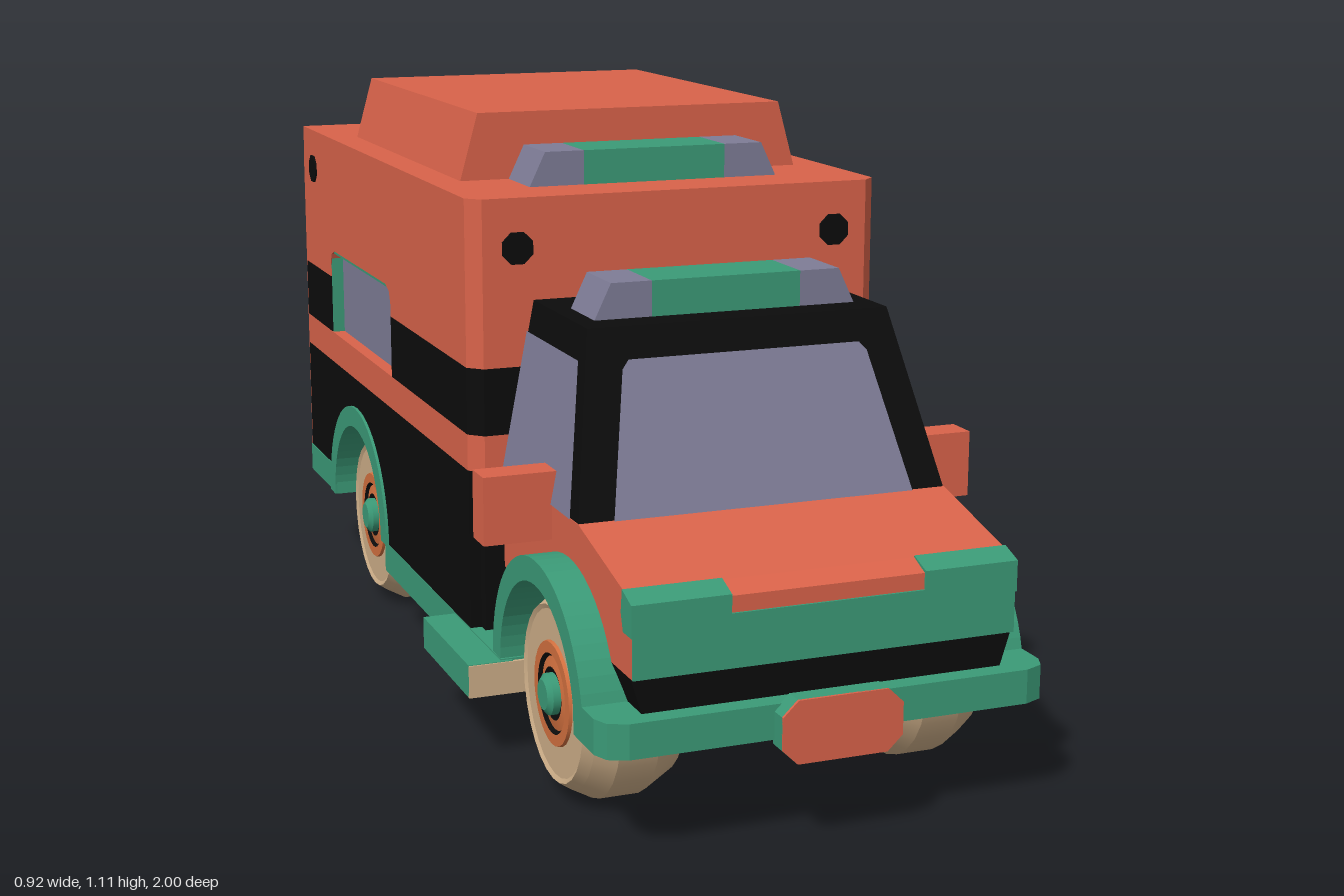
import * as THREE from 'three';

const mat = (name, color) => Object.assign(new THREE.MeshStandardMaterial({ color }), { name });

export function createModel() {
  const red = mat('coral red', 0xd9634a), green = mat('green', 0x3b9a77), black = mat('black', 0x0c0c0c);
  const glass = mat('grey glass', 0x7e7c96), tan = mat('tan', 0xcdae88), orange = mat('orange', 0xd2703f);
  const model = new THREE.Group();
  model.name = 'van';

  const add = (name, geo, material, parent = model) => {
    const m = new THREE.Mesh(geo, material);
    m.name = name;
    parent.add(m);
    return m;
  };
  // Box given by its limits
  const box = (name, material, x0, x1, y0, y1, z0, z1) => {
    const g = new THREE.BoxGeometry(Math.abs(x1 - x0), y1 - y0, z1 - z0);
    g.translate((x0 + x1) / 2, (y0 + y1) / 2, (z0 + z1) / 2);
    return add(name, g, material);
  };
  const poly = pts => new THREE.Shape(pts.map(p => new THREE.Vector2(p[0], p[1])));
  const extrude = (shape, depth) => new THREE.ExtrudeGeometry(shape, { depth, bevelEnabled: false, curveSegments: 14 });
  // Side profile (z, y) drawn across x0..x1
  const across = (name, material, shape, x0, x1) =>
    add(name, extrude(shape, x1 - x0).rotateY(-Math.PI / 2).translate(x1, 0, 0), material);
  // Plan outline (x, z) raised from y0 to y1
  const raise = (name, material, shape, y0, y1) =>
    add(name, extrude(shape, y1 - y0).rotateX(Math.PI / 2).translate(0, y1, 0), material);
  // Front outline (x, y) drawn along z0..z1
  const along = (name, material, pts, z0, z1) =>
    add(name, extrude(poly(pts), z1 - z0).translate(0, 0, z0), material);
  const mirrorPts = half => [...half, ...half.map(([x, z]) => [-x, z]).reverse()];
  const sides = fn => [1, -1].forEach(fn);

  const axleY = 0.19, frontZ = 0.64, rearZ = -0.54;

  // Rear body: colour bands with side window and rear door recesses
  const band = (name, material, y0, y1, windowGap, doorGap) => {
    const half = [[0.375, 0.29], [0.4, 0.265]];
    if (windowGap) half.push([0.4, -0.25], [0.37, -0.25], [0.37, -0.745], [0.4, -0.745]);
    half.push([0.4, -0.97]);
    if (doorGap) half.push([0.345, -0.97], [0.345, -0.92]);
    raise(name, material, poly(mirrorPts(half)), y0, y1);
  };
  band('lowerRedBand', red, 0.49, 0.557, false, true);
  band('blackBand', black, 0.557, 0.68, true, true);
  band('windowTopBand', red, 0.68, 0.74, true, true);
  band('upperBody', red, 0.74, 0.93, false, true);
  band('roof', red, 0.93, 0.985, false, false);

  const lower = new THREE.Shape();
  lower.moveTo(0.268, 0.49);
  lower.lineTo(0.268, 0.19);
  lower.lineTo(rearZ + 0.2, 0.19);
  lower.absarc(rearZ, axleY, 0.2, 0, Math.PI, false);
  lower.lineTo(-0.92, 0.19);
  lower.lineTo(-0.92, 0.49);
  across('lowerBody', black, lower, -0.4, 0.4);
  box('lowerBodyFront', black, -0.378, 0.378, 0.19, 0.49, 0.26, 0.29);

  // Side windows with green liners and rounded upper corners
  sides(s => {
    box('sideWindow', glass, s * 0.368, s * 0.374, 0.557, 0.74, -0.745, -0.25);
    box('windowLiner', green, s * 0.37, s * 0.398, 0.734, 0.74, -0.745, -0.25);
    box('windowLiner', green, s * 0.37, s * 0.398, 0.557, 0.74, -0.256, -0.25);
    box('windowLiner', green, s * 0.37, s * 0.398, 0.557, 0.74, -0.745, -0.739);
    [[-0.25, -1], [-0.745, 1]].forEach(([z, d]) => across('windowCorner', red,
      poly([[z, 0.74], [z + d * 0.035, 0.74], [z + d * 0.01, 0.73], [z, 0.705]]),
      s > 0 ? 0.372 : -0.4, s > 0 ? 0.4 : -0.372));
  });

  // Rear doors
  box('doorPanel', red, -0.345, 0.345, 0.25, 0.93, -0.925, -0.919);
  sides(s => {
    box('rearWindow', glass, s * 0.06, s * 0.285, 0.49, 0.87, -0.928, -0.92);
    box('doorLowerPanel', black, s * 0.06, s * 0.285, 0.31, 0.49, -0.928, -0.92);
    box('rearPost', black, s * 0.345, s * 0.4, 0.25, 0.49, -0.97, -0.92);
    box('doorFrame', green, s * 0.338, s * 0.345, 0.25, 0.93, -0.968, -0.92);
    box('rearPostFace', red, s * 0.345, s * 0.4, s > 0 ? 0.49 : 0.25, 0.93, -0.973, -0.97);
  });
  box('doorFrameTop', green, -0.345, 0.345, 0.923, 0.93, -0.968, -0.92);

  // Marker lamps
  sides(s => {
    const front = add('frontMarker', new THREE.CylinderGeometry(0.031, 0.031, 0.006, 8).rotateY(Math.PI / 8), black);
    front.rotation.x = Math.PI / 2;
    front.position.set(s * 0.31, 0.895, 0.291);
    const side = add('sideMarker', new THREE.CylinderGeometry(0.031, 0.031, 0.006, 8).rotateY(Math.PI / 8), black);
    side.rotation.z = Math.PI / 2;
    side.position.set(s * 0.401, 0.9, -0.88);
  });

  // Raised roof and light bars
  along('raisedRoof', red, mirrorPts([[0.34, 0.984], [0.305, 1.11]]), -0.72, 0.045);
  [[0.8, 0.39, 0.51], [0.985, 0.045, 0.168], [0.985, -0.848, -0.72]].forEach(([y, z0, z1]) => {
    box('lightBarCentre', green, -0.14, 0.14, y - 0.002, y + 0.063, z0, z1);
    sides(s => along('lightBarEnd', glass,
      [[s * 0.14, y - 0.002], [s * 0.246, y - 0.002], [s * 0.215, y + 0.063], [s * 0.14, y + 0.063]], z0, z1));
  });

  // Cab: a box tapered towards its top
  const cab = new THREE.BoxGeometry(2, 1, 1).toNonIndexed();
  const p = cab.attributes.position;
  for (let i = 0; i < p.count; i++) {
    const top = p.getY(i) > 0, front = p.getZ(i) > 0;
    p.setXYZ(i, p.getX(i) * (top ? 0.28 : 0.34), top ? 0.8 : 0.49, front ? (top ? 0.57 : 0.69) : 0.28);
  }
  cab.computeVertexNormals();
  add('cab', cab, black);

  // Cab glass, laid just above the sloping faces
  const pane = (name, pts) => {
    const g = new THREE.BufferGeometry();
    g.setAttribute('position', new THREE.Float32BufferAttribute(pts.flat(), 3));
    g.setIndex(pts.slice(2).flatMap((_, i) => [0, i + 1, i + 2]));
    g.computeVertexNormals();
    add(name, g, glass).material.side = THREE.DoubleSide;
  };
  const shieldZ = y => 0.694 - 0.12 * (y - 0.49) / 0.31;
  pane('windscreen', [[-0.277, 0.496], [0.277, 0.496], [0.228, 0.732], [0.215, 0.747], [-0.215, 0.747], [-0.228, 0.732]]
    .map(([x, y]) => [x, y, shieldZ(y)]));
  sides(s => pane('cabSideWindow', [[0.655, 0.497], [0.293, 0.497], [0.293, 0.745], [0.565, 0.745]]
    .map(([z, y]) => [s * (0.344 - 0.06 * (y - 0.49) / 0.31), y, z])));

  // Nose with wheel arch cut
  const nose = poly([[0.28, 0.31], [0.28, 0.495], [0.69, 0.497], [0.9, 0.446], [0.938, 0.43], [0.938, 0.31], [0.8, 0.31]]);
  nose.absarc(frontZ, axleY, 0.2, Math.asin(0.6), Math.PI - Math.asin(0.6), false);
  across('nose', red, nose, -0.34, 0.34);
  box('grille', green, -0.34, 0.34, 0.31, 0.402, 0.935, 0.942);
  sides(s => across('headlight', green,
    poly([[0.9, 0.449], [0.942, 0.434], [0.942, 0.38], [0.905, 0.38], [0.895, 0.41]]),
    s > 0 ? 0.172 : -0.343, s > 0 ? 0.343 : -0.172));
  along('noseLower', black, mirrorPts([[0.32, 0.245], [0.34, 0.31]]), 0.83, 0.932);
  box('cabSill', black, -0.34, 0.34, 0.19, 0.31, 0.28, 0.44);
  sides(s => box('mirror', red, s * 0.325, s * 0.462, 0.435, 0.555, 0.497, 0.557));

  // Chassis, steps and bumpers
  box('spine', green, -0.218, 0.218, 0.13, 0.192, -0.725, 0.825);
  box('sill', green, -0.401, 0.401, 0.13, 0.192, -0.33, 0.45);
  sides(s => {
    box('step', green, s * 0.38, s * 0.462, 0.13, 0.19, 0.17, 0.457);
    box('stepFront', tan, s * 0.218, s * 0.462, 0.13, 0.189, 0.453, 0.46);
  });
  raise('frontBumper', green, poly(mirrorPts([[0.4, 0.83], [0.4, 0.925], [0.388, 0.953], [0.355, 0.967]])), 0.19, 0.25);
  box('rearBumper', green, -0.402, 0.402, 0.19, 0.25, -0.972, -0.733);
  [[0.21, 0.96, 1, 0.995], [0.19, -1, -0.96, -1]].forEach(([y, z0, z1, faceZ]) => {
    const plate = mirrorPts([[0.08, y - 0.054], [0.107, y - 0.028], [0.107, y + 0.028], [0.08, y + 0.054]]);
    along('plateMount', green, plate, z0 + 0.003, z1 - 0.003);
    along('plateFace', red, plate, faceZ, faceZ + 0.005);
  });

  // Wheel arches, wells and wheels
  const tyreProfile = [[0, 0.19], [0.155, 0.19], [0.185, 0.245], [0.185, 0.315], [0.165, 0.352],
    [0.153, 0.37], [0.145, 0.366], [0.09, 0.366], [0, 0.36]];
  // Each lathe segment is separate, so that its edges stay sharp
  const ring = (name, material, pts, parent) => pts.slice(1).forEach((b, i) => add(name,
    new THREE.LatheGeometry([new THREE.Vector2(...pts[i]), new THREE.Vector2(...b)], 28), material, parent));
  [[frontZ, 0.4], [rearZ, 0.406]].forEach(([z, out]) => {
    const arch = new THREE.Shape();
    arch.moveTo(z + 0.195, axleY);
    arch.lineTo(z + 0.238, axleY);
    arch.absarc(z, axleY, 0.238, 0, Math.PI, false);
    arch.lineTo(z - 0.195, axleY);
    arch.absarc(z, axleY, 0.195, Math.PI, 0, true);
    box('wheelWell', green, -0.185, 0.185, 0.18, 0.4, z - 0.18, z + 0.18);
    sides(s => {
      across('wheelArch', green, arch, s > 0 ? 0.18 : -out, s > 0 ? out : -0.18);
      const wheel = new THREE.Group();
      wheel.name = 'wheel';
      ring('tyre', tan, tyreProfile, wheel);
      ring('rim', orange, [[0.092, 0.364], [0.09, 0.372], [0.07, 0.372]], wheel);
      ring('rimGroove', black, [[0.07, 0.372], [0.064, 0.366]], wheel);
      ring('rimInner', orange, [[0.064, 0.366], [0.046, 0.37]], wheel);
      ring('hubGroove', black, [[0.046, 0.37], [0.034, 0.366]], wheel);
      ring('hub', green, [[0.036, 0.364], [0.036, 0.38], [0.026, 0.388], [0, 0.388]], wheel);
      wheel.rotation.z = -s * Math.PI / 2;
      wheel.position.set(0, axleY, z);
      model.add(wheel);
    });
  });

  return model;
}
